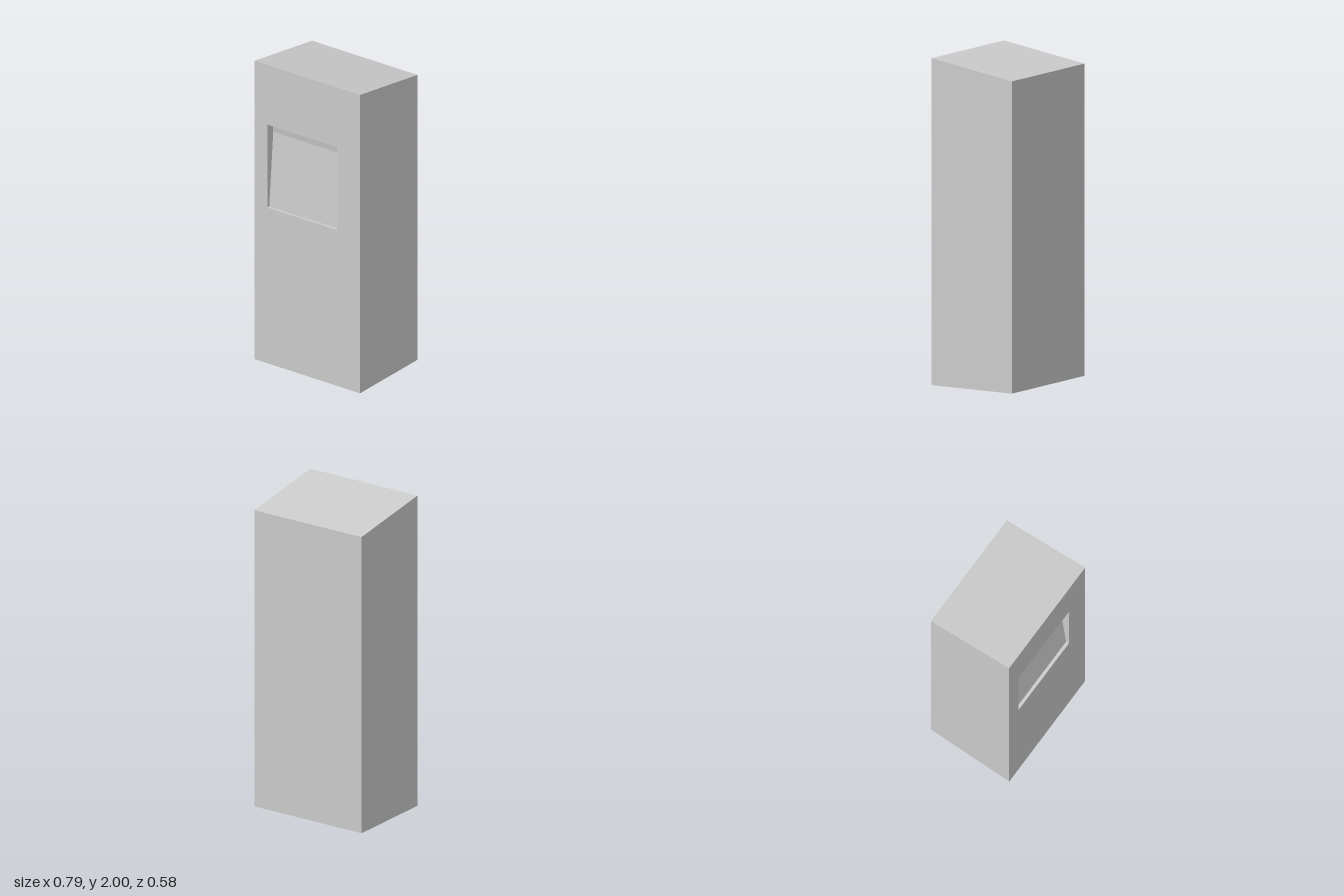
import * as THREE from 'three';
import { mergeGeometries } from 'three/addons/utils/BufferGeometryUtils.js';

const HALF_W = 0.397, FRONT = 0.29, BACK = -0.29;
const WINDOW = { x0: -0.301, x1: 0.225, y0: 1.044, y1: 1.6 };

// Side profiles as [z, y] points
const bodyProfile = [[FRONT, 2], [BACK, 1.91], [BACK, 0], [FRONT, 0]];
const recessProfile = [
  [FRONT, WINDOW.y0], [FRONT - 0.02, WINDOW.y0],   // sill
  [FRONT - 0.06, 1.529],                           // tilted screen
  [FRONT - 0.05, WINDOW.y1], [FRONT, WINDOW.y1],   // hood
];

// Flat-sided ribbon that sweeps an open profile from x0 to x1
function ribbon(profile, x0, x1) {
  const points = [];
  for (let i = 0; i < profile.length - 1; i++) {
    const [za, ya] = profile[i], [zb, yb] = profile[i + 1];
    const a = new THREE.Vector3(x0, ya, za), b = new THREE.Vector3(x1, ya, za);
    const c = new THREE.Vector3(x1, yb, zb), d = new THREE.Vector3(x0, yb, zb);
    points.push(a, b, c, a, c, d);
  }
  const geometry = new THREE.BufferGeometry().setFromPoints(points);
  geometry.computeVertexNormals();
  return geometry;
}

// Flat wall filling a profile at x, facing +x (facing = 1) or -x (facing = -1)
function wall(profile, x, facing) {
  const shape = new THREE.Shape(profile.map(([z, y]) => new THREE.Vector2(-facing * z, y)));
  const geometry = new THREE.ShapeGeometry(shape).toNonIndexed();
  geometry.deleteAttribute('uv');
  return geometry.rotateY(facing * Math.PI / 2).translate(x, 0, 0);
}

// Front panel with the window opening
function frontPanel() {
  const rect = (x0, y0, x1, y1) =>
    [[x0, y0], [x1, y0], [x1, y1], [x0, y1]].map(([x, y]) => new THREE.Vector2(x, y));
  const shape = new THREE.Shape(rect(-HALF_W, 0, HALF_W, 2));
  shape.holes.push(new THREE.Path(rect(WINDOW.x0, WINDOW.y0, WINDOW.x1, WINDOW.y1)));
  const geometry = new THREE.ShapeGeometry(shape).toNonIndexed();
  geometry.deleteAttribute('uv');
  return geometry.translate(0, 0, FRONT);
}

export function createModel() {
  const group = new THREE.Group();
  group.name = 'kiosk';
  const material = new THREE.MeshStandardMaterial({ color: 0xcccccc, flatShading: true });
  const add = (name, parts) => {
    const mesh = new THREE.Mesh(mergeGeometries(parts), material);
    mesh.name = name;
    group.add(mesh);
  };

  // Cabinet with a top sloping down to the back
  add('cabinet', [
    frontPanel(),
    ribbon(bodyProfile, -HALF_W, HALF_W),
    wall(bodyProfile, -HALF_W, -1),
    wall(bodyProfile, HALF_W, 1),
  ]);

  // Shallow recess with the tilted screen
  add('screenRecess', [
    ribbon(recessProfile, WINDOW.x0, WINDOW.x1),
    wall(recessProfile, WINDOW.x0, 1),
    wall(recessProfile, WINDOW.x1, -1),
  ]);

  return group;
}
